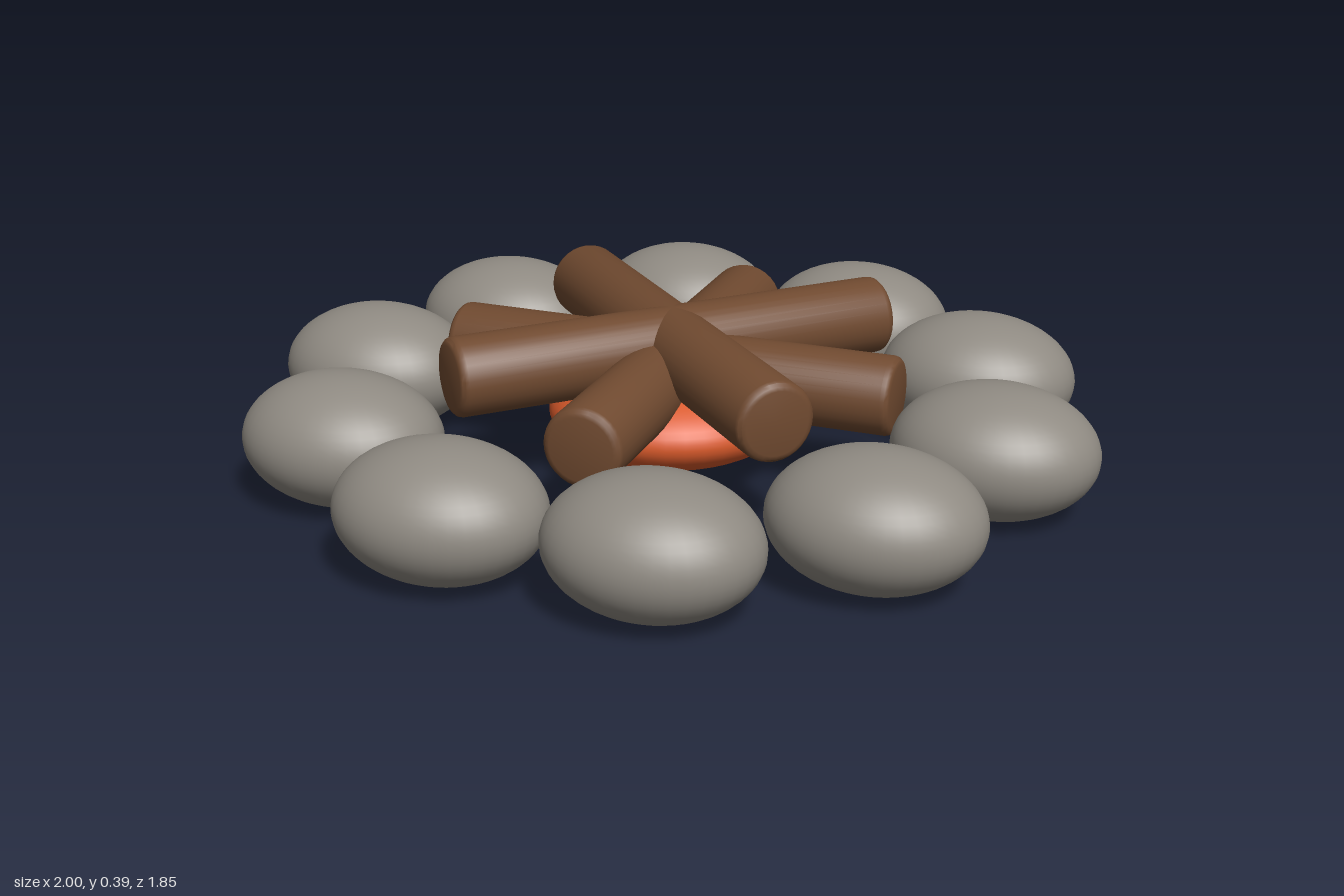
import * as THREE from 'three';
import { toCreasedNormals } from 'three/addons/utils/BufferGeometryUtils.js';

const stoneMat = new THREE.MeshStandardMaterial({ color: 0x8f8a82 });
stoneMat.name = 'stone grey';
const woodMat = new THREE.MeshStandardMaterial({ color: 0x704a30 });
woodMat.name = 'bark brown';
const emberMat = new THREE.MeshStandardMaterial({ color: 0xd95a2b });
emberMat.name = 'ember orange';

// Log lying along x, with slightly rounded end rims
function logGeometry(radius, halfLength, rim) {
  const end = [];
  for (let i = 0; i <= 3; i++) {
    const a = (i / 3) * Math.PI / 2;
    end.push([radius - rim + rim * Math.cos(a), halfLength - rim + rim * Math.sin(a)]);
  }
  end.push([0, halfLength]);
  const profile = [
    ...[...end].reverse().map(([r, y]) => new THREE.Vector2(r, -y)),
    ...end.map(([r, y]) => new THREE.Vector2(r, y)),
  ];
  return toCreasedNormals(new THREE.LatheGeometry(profile, 32).rotateZ(Math.PI / 2), 0.7);
}

function add(parent, name, geometry, material) {
  const mesh = new THREE.Mesh(geometry, material);
  mesh.name = name;
  parent.add(mesh);
  return mesh;
}

export function createModel() {
  const model = new THREE.Group();
  model.name = 'campfire';

  // Ring of ten flattened stones, all lying with their long axis on x
  const stones = new THREE.Group();
  stones.name = 'stoneRing';
  model.add(stones);
  const stoneGeo = new THREE.SphereGeometry(1, 40, 28).scale(0.235, 0.15, 0.195);
  for (let i = 0; i < 10; i++) {
    const a = (i / 10) * Math.PI * 2;
    add(stones, `stone${i + 1}`, stoneGeo, stoneMat)
      .position.set(0.765 * Math.cos(a), 0.15, 0.765 * Math.sin(a));
  }

  // Four crossed logs: the diagonal pair rests above the straight pair
  const logs = new THREE.Group();
  logs.name = 'logs';
  model.add(logs);
  const logGeo = logGeometry(0.091, 0.54, 0.018);
  for (let i = 0; i < 4; i++) {
    const log = add(logs, `log${i + 1}`, logGeo, woodMat);
    log.position.y = i % 2 ? 0.3 : 0.245;
    log.rotation.y = (i * Math.PI) / 4;
  }

  // Bed of embers under the logs
  const embers = add(model, 'embers', new THREE.SphereGeometry(1, 40, 28), emberMat);
  embers.scale.set(0.287, 0.115, 0.287);
  embers.position.y = 0.15;

  return model;
}
